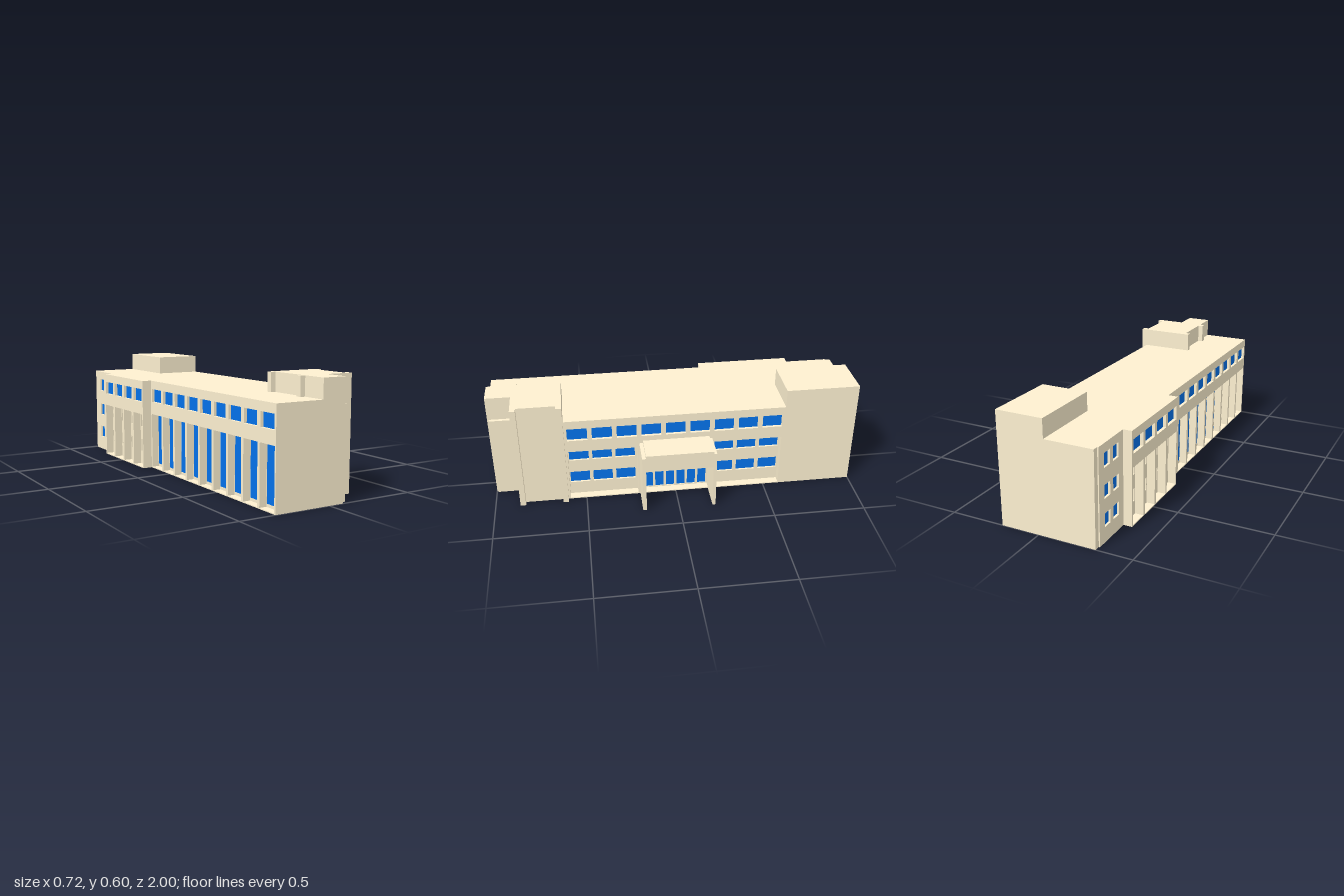
import * as THREE from 'three';

const wallMat = new THREE.MeshStandardMaterial({ color: 0xfdf0d0 });
const glassMat = new THREE.MeshStandardMaterial({ color: 0x0472ea });

export function createModel() {
  const model = new THREE.Group();
  model.name = 'building';

  // Box given by its limits on each axis
  function box(name, x0, x1, y0, y1, z0, z1, mat = wallMat) {
    const m = new THREE.Mesh(new THREE.BoxGeometry(x1 - x0, y1 - y0, z1 - z0), mat);
    m.position.set((x0 + x1) / 2, (y0 + y1) / 2, (z0 + z1) / 2);
    m.name = name;
    model.add(m);
  }

  // Counter-clockwise rectangle, drawn with -z as the horizontal axis
  const trace = (path, [z0, z1, y0, y1]) => {
    path.moveTo(-z1, y0);
    path.lineTo(-z0, y0);
    path.lineTo(-z0, y1);
    path.lineTo(-z1, y1);
    path.closePath();
    return path;
  };

  // Wall slab in the z-y plane, from x0 to x1, pierced by rectangles [z0, z1, y0, y1]
  function wall(name, x0, x1, rect, holes) {
    const shape = trace(new THREE.Shape(), rect);
    holes.forEach(h => shape.holes.push(trace(new THREE.Path(), h)));
    const geo = new THREE.ExtrudeGeometry(shape, { depth: x1 - x0, bevelEnabled: false });
    geo.rotateY(Math.PI / 2);
    const m = new THREE.Mesh(geo, wallMat);
    m.position.x = x0;
    m.name = name;
    model.add(m);
  }

  const panes = (name, x, holes) =>
    holes.forEach(([z0, z1, y0, y1]) => box(name, x - 0.004, x + 0.004, y0, y1, z0, z1, glassMat));

  // A row of n equal openings, centred in bays between z0 and z1
  function row(n, z0, z1, width, y0, y1) {
    const pitch = (z1 - z0) / n;
    return Array.from({ length: n }, (_, i) => {
      const c = z0 + pitch * (i + 0.5);
      return [c - width / 2, c + width / 2, y0, y1];
    });
  }

  const H = 0.5, RECESS_TOP = 0.31, SILL = 0.005;
  const LOW = [0.08, 0.149], MID = [0.225, 0.294], TOP = [0.38, 0.453];

  // Solid core behind the facades
  box('mainBody', -0.245, 0.082, 0, H, -1, 1);
  box('mainBodyEast', 0.082, 0.143, 0, H, -0.6, 0.6);
  box('wingCore', -0.295, -0.245, 0, H, -0.735, -0.21);
  box('cornerPier', -0.309, -0.245, 0, H, -1, -0.97);

  // Entrance facade: outer skin with recesses, inner wall with windows
  const eastTop = row(9, -0.597, 0.597, 0.108, ...TOP);
  wall('entranceFacade', 0.163, 0.207, [-0.6, 0.6, 0, H], [
    ...eastTop,
    [-0.588, -0.21, SILL, RECESS_TOP],
    [0.21, 0.588, SILL, RECESS_TOP],
    [-0.183, 0.18, SILL, 0.25],
  ]);
  panes('upperWindow', 0.187, eastTop);
  const eastLow = [LOW, MID].flatMap(y =>
    [...row(3, -0.592, -0.212, 0.107, ...y), ...row(3, 0.212, 0.592, 0.107, ...y)]);
  const doors = [[0.01, 0.165], [0.178, 0.244]].flatMap(y => row(6, -0.182, 0.178, 0.047, ...y));
  wall('recessedWall', 0.143, 0.163, [-0.6, 0.6, 0, H], [...eastLow, ...doors]);
  panes('lowerWindow', 0.148, eastLow);
  panes('entranceGlazing', 0.153, doors);

  // Entrance canopy on two side walls
  box('canopyRoof', 0.207, 0.362, 0.25, 0.35, -0.183, 0.18);
  box('canopySideWall', 0.207, 0.362, 0, 0.335, 0.18, 0.2);
  box('canopySideWall', 0.207, 0.362, 0, 0.335, -0.2, -0.183);

  // Long rear facade: upper windows over tall glazing between thin fins
  const rearTop = row(9, -0.21, 1, 0.108, ...TOP);
  const rearTall = row(9, -0.21, 1, 0.116, SILL, RECESS_TOP);
  wall('rearFacade', -0.309, -0.269, [-0.21, 1, 0, H], [...rearTop, ...rearTall]);
  panes('upperWindow', -0.289, rearTop);
  const tallGlass = row(9, -0.21, 1, 0.112, 0.02, 0.305);
  wall('rearInnerWall', -0.269, -0.245, [-0.21, 1, 0, H], tallGlass);
  panes('tallWindow', -0.264, tallGlass);

  // Projecting rear wing: four finned bays
  const wingTop = row(4, -0.735, -0.21, 0.107, ...TOP);
  const wingBays = row(4, -0.735, -0.21, 0.114, SILL, RECESS_TOP);
  wall('wingFacade', -0.362, -0.317, [-0.735, -0.21, 0, H], [...wingTop, ...wingBays]);
  panes('upperWindow', -0.341, wingTop);
  const wingLow = [LOW, MID].flatMap(y => row(4, -0.735, -0.21, 0.102, ...y));
  wall('wingInnerWall', -0.317, -0.295, [-0.735, -0.21, 0, H], wingLow);
  panes('lowerWindow', -0.305, wingLow);

  // Narrow rear bay: three floors of paired windows
  const pairs = [LOW, MID, TOP].flatMap(y => row(2, -0.935, -0.765, 0.056, ...y));
  wall('narrowBay', -0.315, -0.245, [-0.97, -0.735, 0, H], pairs);
  panes('narrowWindow', -0.299, pairs);

  // Back stair tower
  box('backTower', 0.082, 0.207, 0, 0.6, -1, -0.6);
  box('backTowerTop', -0.048, 0.082, H, 0.6, -1, -0.6);

  // Front stair tower with two projecting fins and a low side panel
  box('frontTowerTop', -0.048, 0.082, H, 0.6, 0.6, 1);
  box('frontTower', 0.082, 0.207, 0, 0.6, 0.63, 0.835);
  for (const [z0, z1] of [[0.6, 0.63], [0.835, 0.865]]) {
    box('towerFin', 0.082, 0.236, 0, 0.6, z0, z1);
    box('towerFinRoofEnd', -0.075, -0.048, H, 0.6, z0, z1);
  }
  box('sidePanel', 0.082, 0.1, SILL, 0.47, 0.865, 0.992);

  return model;
}
